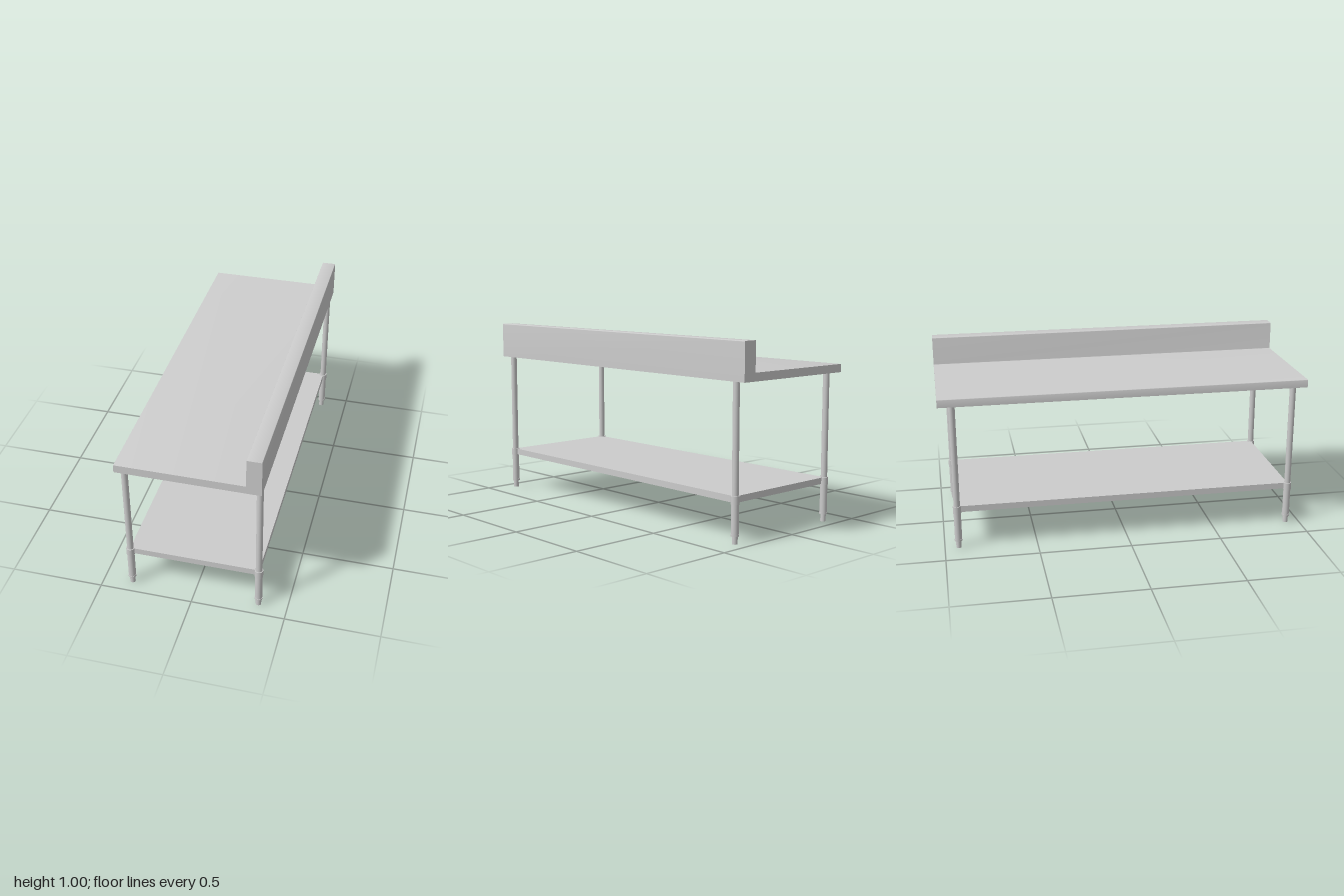
import * as THREE from 'three';
import { toCreasedNormals } from 'three/addons/utils/BufferGeometryUtils.js';

const steel = new THREE.MeshStandardMaterial({ color: 0xcccccc });

function addMesh(parent, name, geometry) {
  const mesh = new THREE.Mesh(geometry, steel);
  mesh.name = name;
  parent.add(mesh);
  return mesh;
}

// Worktop and upstand share one L-shaped section, run along the length
function worktopGeometry() {
  const L = -0.372, R = 0.37, step = 0.293, low = 0.806, mid = 0.849, high = 1.005, r = 0.004;
  const s = new THREE.Shape();
  s.moveTo(L, low);
  s.lineTo(R, low);
  s.lineTo(R, high - r);
  s.quadraticCurveTo(R, high, R - r, high);
  s.lineTo(step + r, high);
  s.quadraticCurveTo(step, high, step, high - r);
  s.lineTo(step, mid + r);
  s.quadraticCurveTo(step, mid, step - r, mid);
  s.lineTo(L + r, mid);
  s.quadraticCurveTo(L, mid, L, mid - r);
  s.closePath();
  const g = new THREE.ExtrudeGeometry(s, { depth: 2, bevelEnabled: false, curveSegments: 5 });
  g.translate(0, 0, -1);
  return toCreasedNormals(g, 0.6);
}

// Leg pieces: name, radius, bottom, top
const legParts = [
  ['foot', 0.0145, 0, 0.042],
  ['footCollar', 0.0215, 0.04, 0.05],
  ['lowerTube', 0.0195, 0.05, 0.202],
  ['shelfSocket', 0.022, 0.2, 0.242],
  ['upperTube', 0.017, 0.242, 0.808],
];

function createLeg() {
  const leg = new THREE.Group();
  leg.name = 'leg';
  for (const [name, radius, bottom, top] of legParts) {
    const part = addMesh(leg, name, new THREE.CylinderGeometry(radius, radius, top - bottom, 32));
    part.position.y = (bottom + top) / 2;
  }
  return leg;
}

export function createModel() {
  const table = new THREE.Group();
  table.name = 'workTable';

  addMesh(table, 'worktopWithUpstand', worktopGeometry());

  // Lower shelf, its corners held in the leg sockets
  const shelf = addMesh(table, 'lowerShelf', new THREE.BoxGeometry(0.694, 0.034, 1.85));
  shelf.position.y = 0.222;

  for (const x of [-0.346, 0.346]) {
    for (const z of [-0.925, 0.925]) {
      const leg = createLeg();
      leg.position.set(x, 0, z);
      table.add(leg);
    }
  }
  return table;
}
